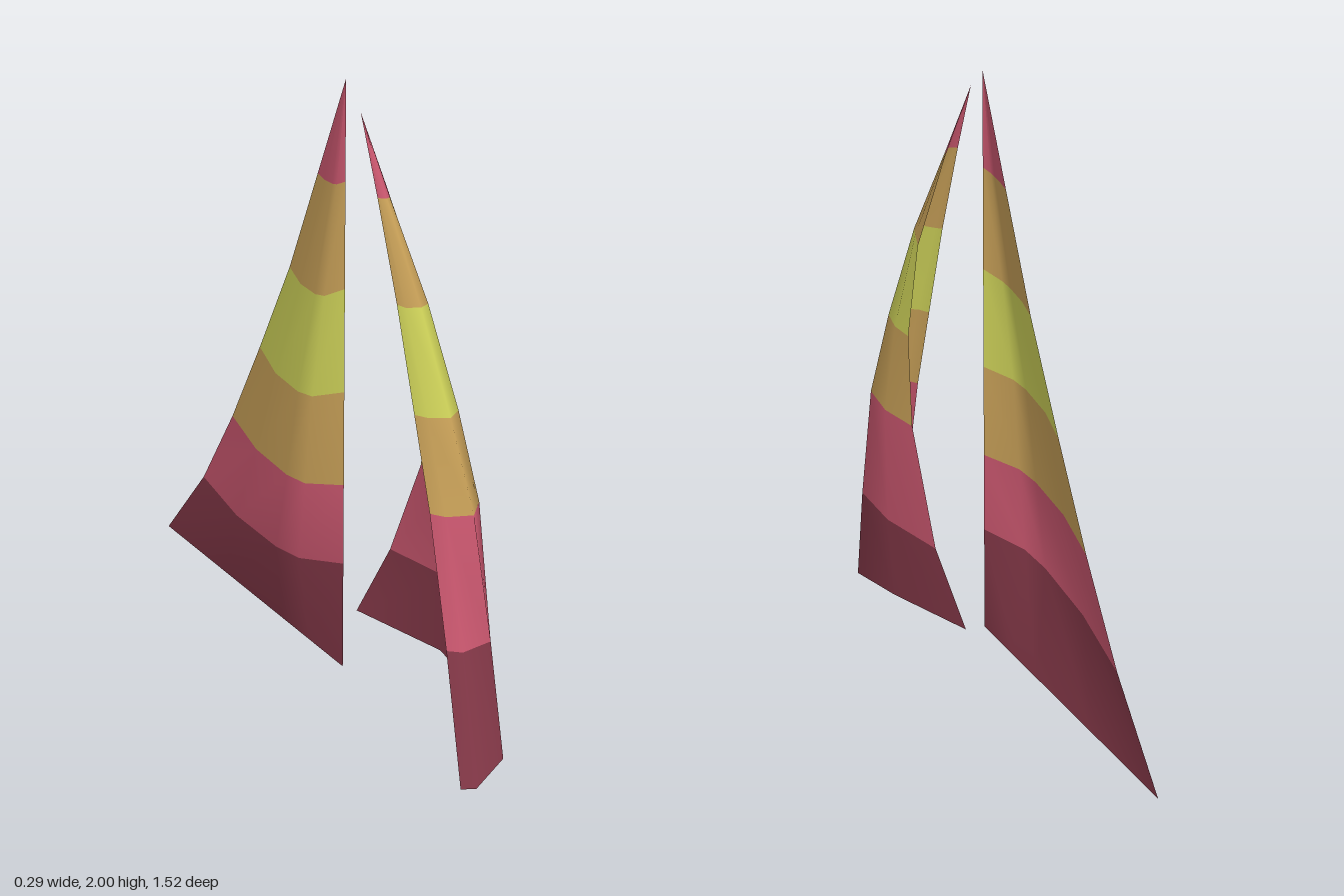
import * as THREE from 'three';

// One flat colour per sail panel
const mat = (name, color) => {
  const m = new THREE.MeshStandardMaterial({ color, side: THREE.DoubleSide });
  m.name = name;
  return m;
};

// Smooth sheet through cross-section rows; the last row closes to a point.
// Each band between two rows gets its own material group.
function sail(name, rows, materials) {
  const n = rows[0].length;
  const index = [];
  const geo = new THREE.BufferGeometry();
  for (let r = 0; r < rows.length - 1; r++) {
    const start = index.length;
    const tip = r === rows.length - 2;
    for (let c = 0; c < n - 1; c++) {
      const a = r * n + c;
      index.push(a, a + 1, a + n);
      if (!tip) index.push(a + 1, a + n + 1, a + n);
    }
    geo.addGroup(start, index.length - start, r);
  }
  geo.setAttribute('position', new THREE.Float32BufferAttribute(rows.flat(2), 3));
  geo.setIndex(index);
  geo.computeVertexNormals();
  const mesh = new THREE.Mesh(geo, materials);
  mesh.name = name;
  return mesh;
}

export function createModel() {
  const maroon = mat('maroon', 0x863949);
  const pink = mat('pink', 0xcc5870);
  const tan = mat('tan', 0xcaa259);
  const yellow = mat('yellow', 0xd0d45a);
  const bands = [maroon, pink, tan, yellow, tan, pink];
  const lerp = THREE.MathUtils.lerp;

  // Mainsail: straight mast edge, bellied to the right.
  // Row: mast-edge y, rear-edge y, rear-edge z, belly depth, seam sag
  const mainU = [0, 0.18, 0.32, 0.64, 1];
  const mainW = [0, 0.88, 1, 0.75, 0];
  const mainRows = [
    [0.10, 0.10, -0.76, 0, 0],
    [0.48, 0.41, -0.54, 0.075, 0.013],
    [0.755, 0.72, -0.37, 0.073, 0.015],
    [1.065, 1.03, -0.22, 0.066, 0.023],
    [1.39, 1.355, -0.07, 0.04, 0.025],
    [1.71, 1.69, 0.06, 0.014, 0.01],
    [2.0, 2.0, 0.18, 0, 0],
  ].map(([y0, y1, z1, belly, sag]) => mainU.map((u, i) => [
    -0.074 - belly * mainW[i],
    lerp(y0, y1, u) - sag * mainW[i],
    lerp(0.18, z1, u),
  ]));

  // Foresail: full, wrapped round from the front to the left side.
  // Row: front edge xyz, rear edge xyz, bulge in x, y and z
  const foreU = [0, 0.06, 0.2, 0.4, 0.65, 1];
  const wx = [0, 0.18, 0.7, 1, 0.8, 0];
  const wy = [0, -0.25, 0.35, 0.85, 1.2, 0];
  const wz = [0, 0.43, 1, 1, 0.44, 0];
  const foreRows = [
    [-0.075, 0, 0.73, 0.05, 0.2, 0.09, 0.165, 0.045, 0.15],
    [-0.06, 0.43, 0.63, 0.095, 0.465, 0.19, 0.125, 0.008, 0.14],
    [-0.05, 0.835, 0.53, 0.09, 0.835, 0.325, 0.09, 0, 0.12],
    [-0.055, 1.12, 0.46, 0.07, 1.12, 0.37, 0.06, 0, 0.09],
    [-0.065, 1.43, 0.39, 0.03, 1.41, 0.37, 0.03, 0.01, 0.055],
    [-0.075, 1.715, 0.315, -0.025, 1.71, 0.30, 0.01, 0, 0.02],
    [-0.077, 1.93, 0.245, -0.077, 1.93, 0.245, 0, 0, 0],
  ].map(([x0, y0, z0, x1, y1, z1, bx, by, bz]) => foreU.map((u, i) => [
    lerp(x0, x1, u) + bx * wx[i],
    lerp(y0, y1, u) + by * wy[i],
    lerp(z0, z1, u) + bz * wz[i],
  ]));

  const group = new THREE.Group();
  group.name = 'sails';
  group.add(sail('mainSail', mainRows, bands), sail('foreSail', foreRows, bands));
  return group;
}
